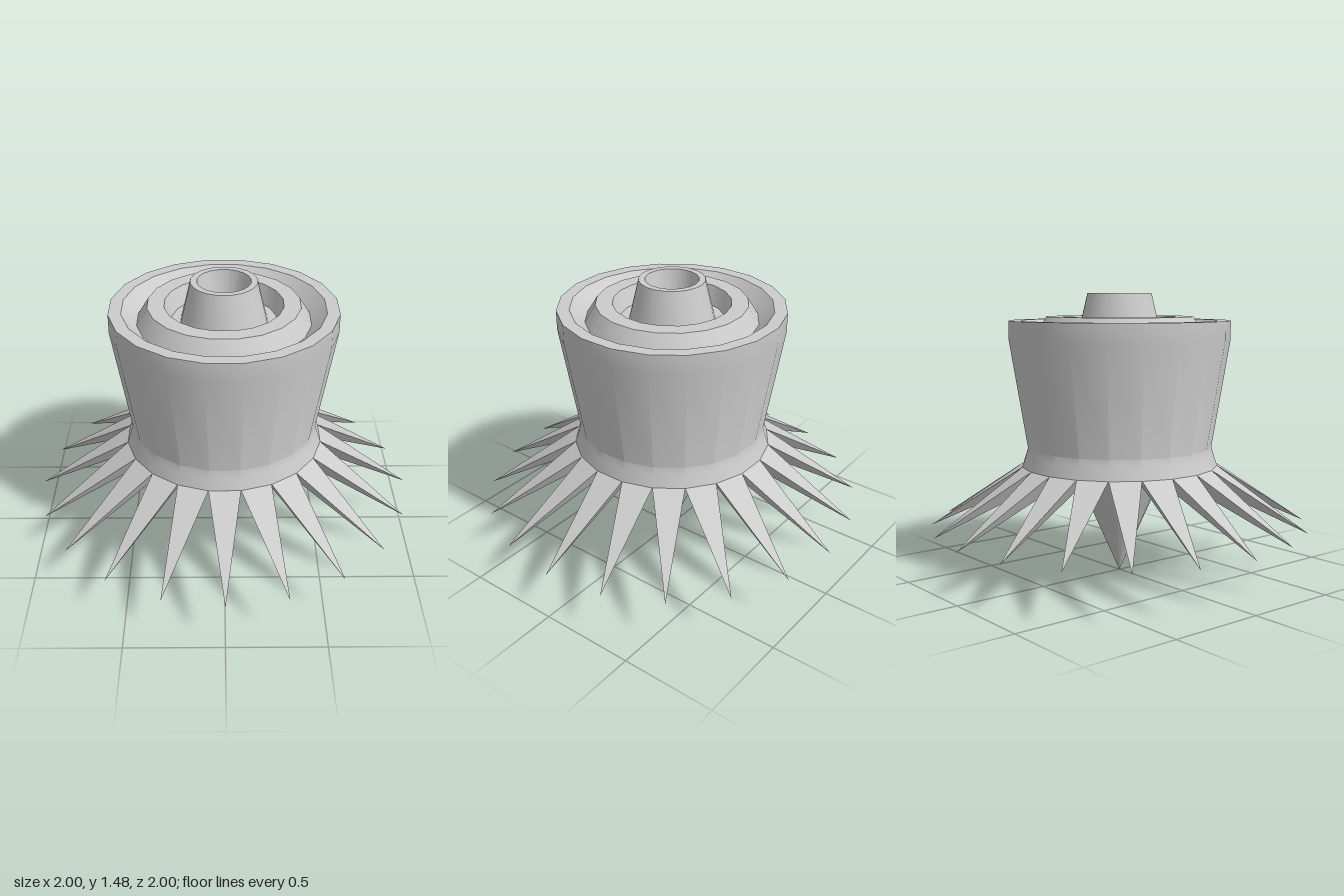
import * as THREE from 'three';
import { toCreasedNormals } from 'three/addons/utils/BufferGeometryUtils.js';

const SIDES = 20;
const STEP = (Math.PI * 2) / SIDES;
const material = new THREE.MeshStandardMaterial({ color: 0xcccccc });

// Revolved part with its flats facing the axes, keeping hard edges sharp
function turned(name, profile, crease = 0.5) {
  const points = profile.map(([r, y]) => new THREE.Vector2(r, y));
  const lathe = new THREE.LatheGeometry(points, SIDES, STEP / 2);
  const mesh = new THREE.Mesh(toCreasedNormals(lathe, crease), material);
  mesh.name = name;
  return mesh;
}

// Four-sided pyramid pointing outward and down along +z
function spikeGeometry() {
  const corner = (r, y, side) => [side * r * Math.sin(STEP / 2), y, r * Math.cos(STEP / 2)];
  const base = [
    corner(0.518, 0.58, -1), corner(0.518, 0.58, 1),
    corner(0.26, 0.59, 1), corner(0.26, 0.59, -1),
  ];
  const tip = [0, 0.26, 1];
  const positions = base.flatMap((p, i) => [...p, ...tip, ...base[(i + 1) % 4]]);
  const geometry = new THREE.BufferGeometry();
  geometry.setAttribute('position', new THREE.Float32BufferAttribute(positions, 3));
  geometry.computeVertexNormals();
  return geometry;
}

export function createModel() {
  const model = new THREE.Group();
  model.name = 'spikedCap';

  // Flared collar, tapered wall and outer lip
  model.add(turned('body', [
    [0.518, 0.58], [0.5, 0.635], [0.487, 0.68], [0.579, 1.24], [0.579, 1.34], [0.515, 1.34],
  ]));

  // Stepped top: groove, raised ring, inner groove
  model.add(turned('topRings', [
    [0.515, 1.34], [0.44, 1.27], [0.385, 1.36], [0.3, 1.36], [0.265, 1.27], [0.218, 1.27],
  ]));

  // Hollow central nozzle
  model.add(turned('nozzle', [
    [0.218, 1.27], [0.168, 1.48], [0.135, 1.48], [0.097, 1.28], [0, 1.28],
  ]));

  // Pointed cone underneath
  model.add(turned('bottomCone', [[0, 0], [0.26, 0.59]], 0.8));

  // Ring of spikes
  const spikes = new THREE.Group();
  spikes.name = 'spikes';
  const geometry = spikeGeometry();
  for (let i = 0; i < SIDES; i++) {
    const spike = new THREE.Mesh(geometry, material);
    spike.name = 'spike';
    spike.rotation.y = i * STEP;
    spikes.add(spike);
  }
  model.add(spikes);

  return model;
}
